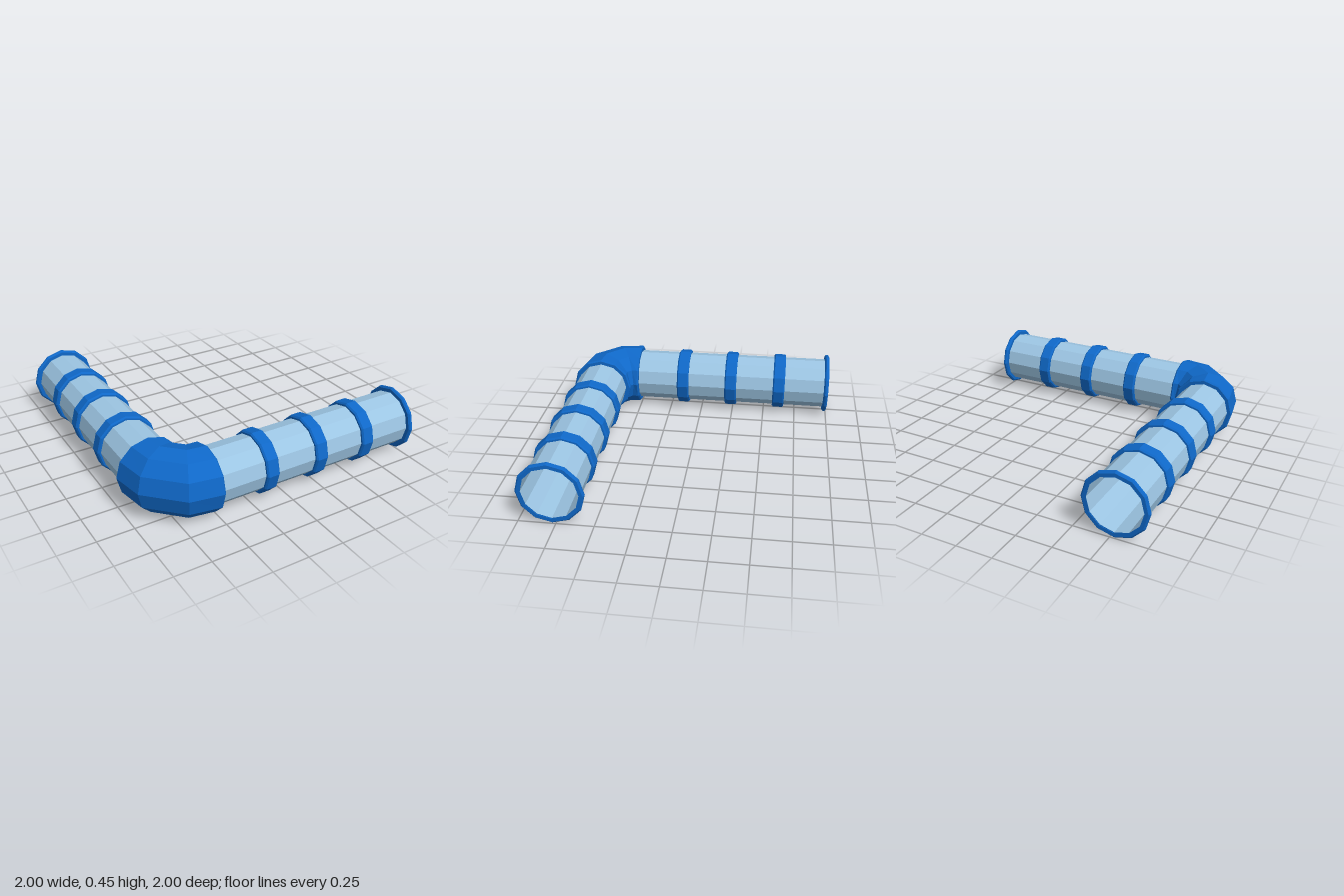
import * as THREE from 'three';

const SIDES = 12;
const CENTRE = 0.775; // distance of each pipe axis from the middle
const RADIUS = 0.225; // outer radius of elbow and end flanges
const PIPE_R = 0.19;

const mat = (color) => new THREE.MeshStandardMaterial({ color, flatShading: true, side: THREE.DoubleSide });
const pipeMat = mat(0x9cc5e3);
const trimMat = mat(0x0f68c8);

// Bevelled collar around the pipe, between a and b on the local y axis
function collar(name, a, b, r) {
  const bevel = 0.01;
  const profile = [
    [PIPE_R, a], [r - bevel, a], [r, a + bevel], [r, b - bevel], [r - bevel, b], [PIPE_R, b],
  ].map(([x, y]) => new THREE.Vector2(x, y));
  const mesh = new THREE.Mesh(new THREE.LatheGeometry(profile, SIDES), trimMat);
  mesh.name = name;
  return mesh;
}

// Straight open pipe along local y with three bands and an end flange
function createArm(name) {
  const arm = new THREE.Group();
  arm.name = name;
  const pipe = new THREE.Mesh(new THREE.CylinderGeometry(PIPE_R, PIPE_R, 1.49, SIDES, 1, true), pipeMat);
  pipe.position.y = 0.245;
  pipe.name = 'pipe';
  arm.add(pipe);
  [-0.145, 0.235, 0.615].forEach((y) => arm.add(collar('band', y - 0.046, y + 0.046, 0.2125)));
  arm.add(collar('endFlange', 0.967, 1, RADIUS));
  return arm;
}

// Elbow swept through tilted rings: [x, z, tilt in degrees, radius]
function createElbow() {
  const half = [
    [-CENTRE, 0.5, 0, PIPE_R],
    [-CENTRE, 0.5, 0, RADIUS - 0.01],
    [-CENTRE, 0.51, 0, RADIUS],
    [-0.758, 0.636, 26, RADIUS],
  ];
  const mirrored = half.map(([x, z, t, r]) => [-z, -x, 90 - t, r]).reverse();
  const rings = [...half, ...mirrored];
  const positions = [];
  const index = [];
  rings.forEach(([x, z, tilt, r], i) => {
    const t = THREE.MathUtils.degToRad(tilt);
    for (let j = 0; j < SIDES; j++) {
      const p = (j / SIDES) * Math.PI * 2;
      const out = r * Math.cos(p);
      positions.push(x - Math.cos(t) * out, r * Math.sin(p), z + Math.sin(t) * out);
      if (i === rings.length - 1) continue;
      const a = i * SIDES + j;
      const b = i * SIDES + ((j + 1) % SIDES);
      index.push(a, a + SIDES, b, b, a + SIDES, b + SIDES);
    }
  });
  const indexed = new THREE.BufferGeometry();
  indexed.setAttribute('position', new THREE.Float32BufferAttribute(positions, 3));
  indexed.setIndex(index);
  const geometry = indexed.toNonIndexed();
  geometry.computeVertexNormals();
  const elbow = new THREE.Mesh(geometry, trimMat);
  elbow.name = 'elbow';
  elbow.position.y = RADIUS;
  return elbow;
}

export function createModel() {
  const model = new THREE.Group();
  model.name = 'cornerPipe';

  // Arm running left along +x
  const sideArm = createArm('sideArm');
  sideArm.rotation.z = -Math.PI / 2;
  sideArm.position.set(0, RADIUS, CENTRE);

  // Arm running back along -z
  const backArm = createArm('backArm');
  backArm.rotation.x = -Math.PI / 2;
  backArm.position.set(-CENTRE, RADIUS, 0);

  model.add(sideArm, backArm, createElbow());
  return model;
}
